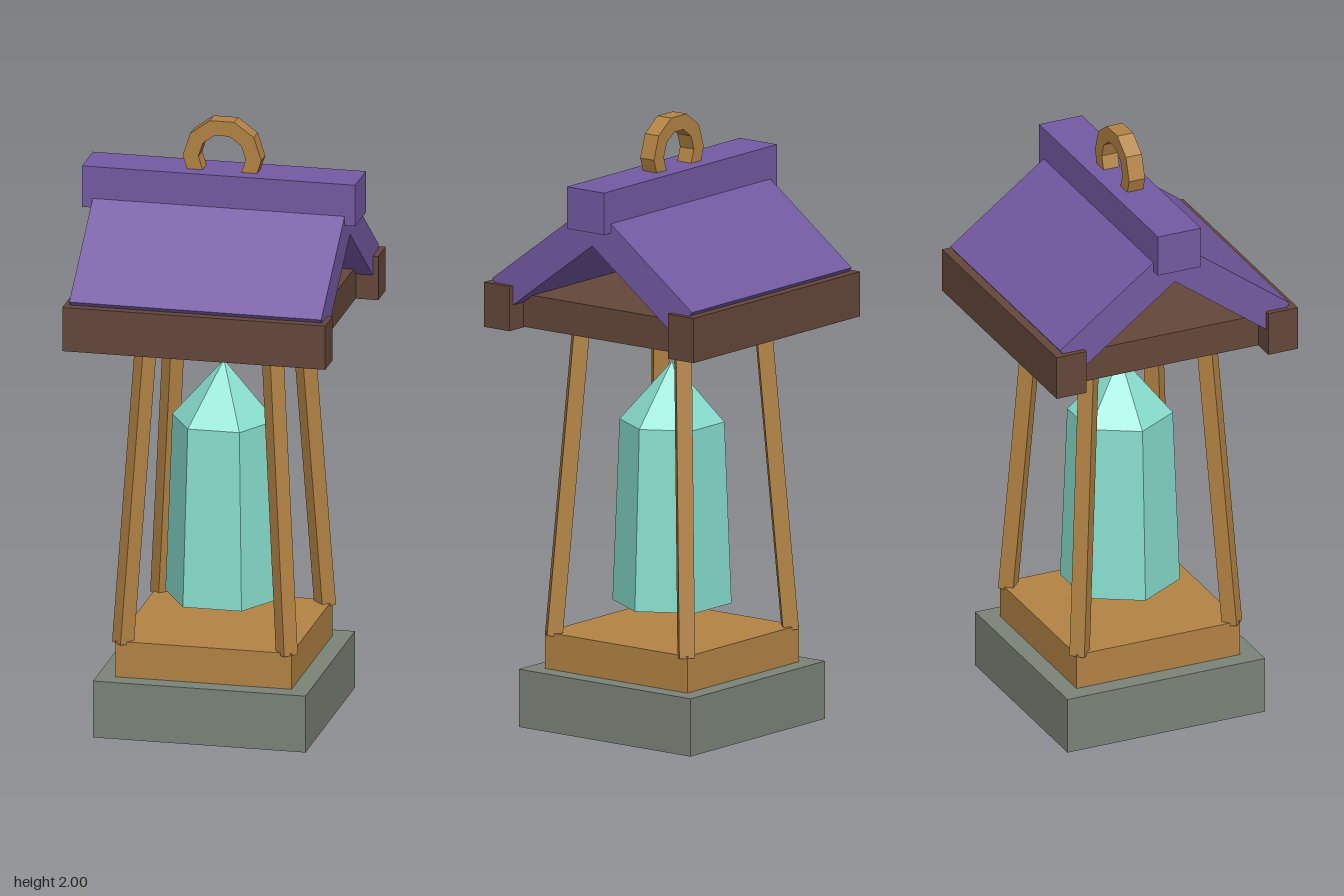
import * as THREE from 'three';

const flat = (name, color) => {
  const m = new THREE.MeshStandardMaterial({ color, flatShading: true });
  m.name = name;
  return m;
};

export function createModel() {
  const stone = flat('grey stone', 0x7b8378);
  const wood = flat('light wood', 0xb38344);
  const darkWood = flat('dark wood', 0x64473a);
  const tile = flat('purple roof', 0x735aa2);
  const gem = flat('teal crystal', 0x88dece);

  const lantern = new THREE.Group();
  lantern.name = 'lantern';
  const add = (name, geometry, material, x = 0, y = 0, z = 0) => {
    const mesh = new THREE.Mesh(geometry, material);
    mesh.name = name;
    mesh.position.set(x, y, z);
    lantern.add(mesh);
    return mesh;
  };
  // Box spanning y0..y1, centred on x = 0
  const slab = (name, w, y0, y1, d, material, z = 0) =>
    add(name, new THREE.BoxGeometry(w, y1 - y0, d), material, 0, (y0 + y1) / 2, z);

  // Stepped foot
  slab('base', 0.7, 0, 0.19, 0.7, stone);
  slab('floor', 0.58, 0.19, 0.31, 0.58, wood);

  // Four square posts, set cornerwise and leaning inwards
  const up = new THREE.Vector3(0, 1, 0);
  for (const sx of [-1, 1]) for (const sz of [-1, 1]) {
    const foot = new THREE.Vector3(sx * 0.27, 0.3, sz * 0.27);
    const head = new THREE.Vector3(sx * 0.205, 1.35, sz * 0.205);
    const axis = head.clone().sub(foot);
    const post = add('post', new THREE.CylinderGeometry(0.036, 0.036, axis.length(), 4), wood);
    post.position.copy(foot).add(head).multiplyScalar(0.5);
    post.quaternion.setFromUnitVectors(up, axis.normalize());
  }

  // Floating six-sided crystal: tapered body and pointed tip
  const body = new THREE.CylinderGeometry(0.17, 0.193, 0.595, 6).rotateY(Math.PI / 6);
  add('crystalBody', body, gem, 0, 0.6975);
  const tip = new THREE.ConeGeometry(0.17, 0.195, 6, 1, true).rotateY(Math.PI / 6);
  add('crystalTip', tip, gem, 0, 1.0925);

  // Ceiling and eave beams
  slab('ceiling', 0.72, 1.322, 1.43, 0.7, darkWood);
  for (const s of [-1, 1]) slab('eaveBeam', 0.866, 1.32, 1.467, 0.105, darkWood, s * 0.375);

  // Gabled roof: chevron section (z, y) extruded along x
  const section = new THREE.Shape([
    [0, 1.782], [-0.407, 1.48], [-0.34, 1.39], [0, 1.642], [0.34, 1.39], [0.407, 1.48],
  ].map(([z, y]) => new THREE.Vector2(z, y)));
  const roof = new THREE.ExtrudeGeometry(section, { depth: 0.83, bevelEnabled: false });
  roof.translate(0, 0, -0.415).rotateY(Math.PI / 2);
  add('roof', roof, tile);
  slab('ridgeBeam', 0.9, 1.695, 1.833, 0.152, tile);

  // Ten-sided hanging ring, its lower part sunk in the ridge
  const decagon = (r) => Array.from({ length: 10 }, (_, i) =>
    new THREE.Vector2(r * Math.cos(i * Math.PI / 5), r * Math.sin(i * Math.PI / 5)));
  const ringShape = new THREE.Shape(decagon(0.1295));
  ringShape.holes.push(new THREE.Path(decagon(0.078)));
  const ring = new THREE.ExtrudeGeometry(ringShape, { depth: 0.056, bevelEnabled: false });
  add('hangingRing', ring.translate(0, 0, -0.028), wood, 0, 1.877);

  return lantern;
}
